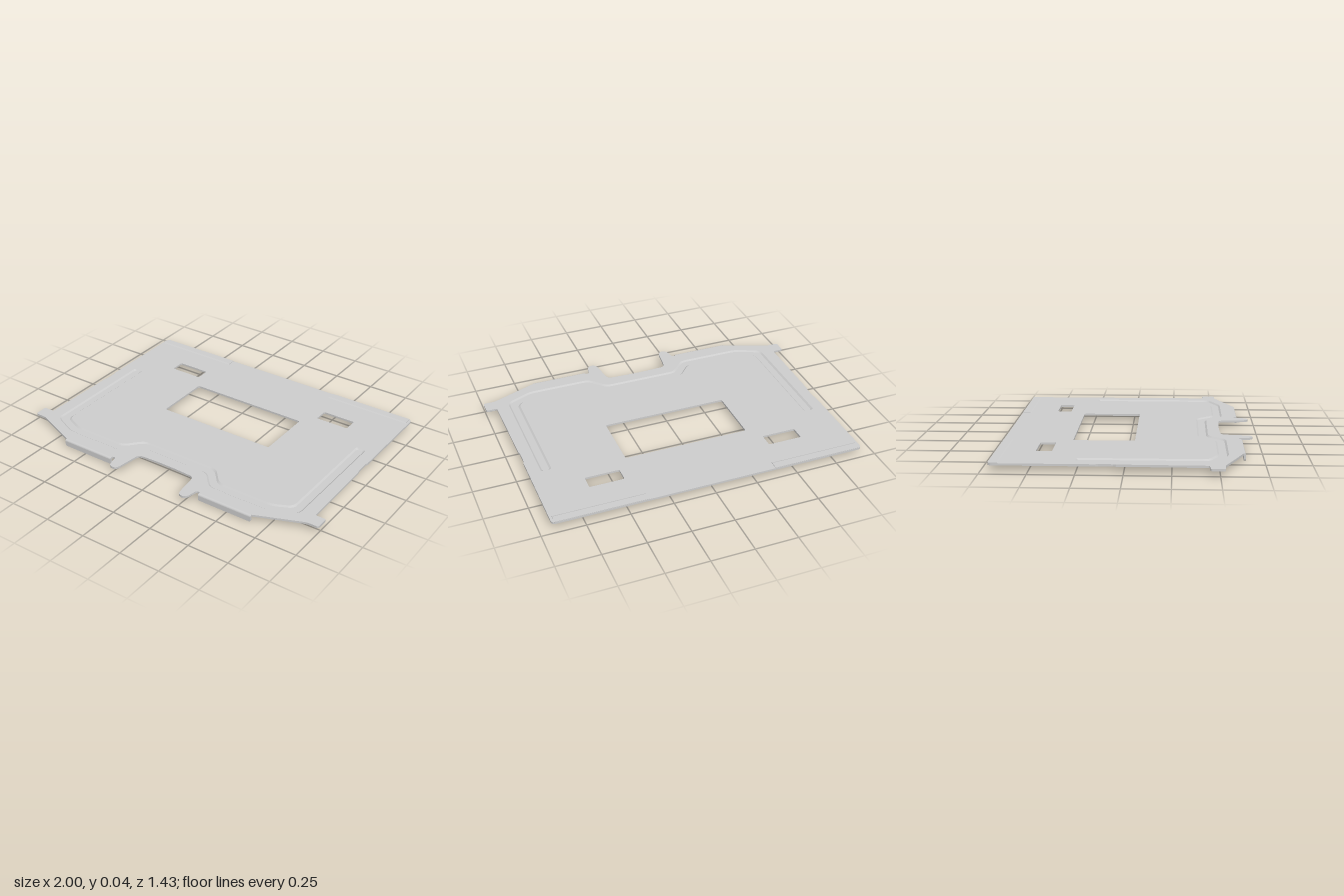
import * as THREE from 'three';

const TOP = 0.041, THICK = 0.012, SINK = 0.008;
const material = new THREE.MeshStandardMaterial({ color: 0xcccccc, side: THREE.DoubleSide });
const V = (x, y) => new THREE.Vector2(x, y);

// Closed loop with every corner [x, z, radius] replaced by a small arc
function rounded(corners, segs = 5) {
  const out = [], n = corners.length;
  corners.forEach(([x, z, r = 0], i) => {
    const p = V(x, z);
    if (!r) return out.push(p);
    const a = V(...corners[(i + n - 1) % n]).sub(p), b = V(...corners[(i + 1) % n]).sub(p);
    const start = p.clone().addScaledVector(a.clone().normalize(), Math.min(r, a.length() * 0.49));
    const end = p.clone().addScaledVector(b.clone().normalize(), Math.min(r, b.length() * 0.49));
    out.push(...new THREE.QuadraticBezierCurve(start, p, end).getPoints(segs));
  });
  return out;
}

// Appends the mirror image of a half outline
const mirrored = (half) => [...half, ...half.map(([x, ...rest]) => [-x, ...rest]).reverse()];

const rect = (x0, x1, z0, z1, r) =>
  rounded([[x0, z0, r], [x1, z0, r], [x1, z1, r], [x0, z1, r]]);

// Outline of a band of half-width w around an open path, with mitred corners
function band(path, w) {
  const pts = path.map(([x, z]) => V(x, z));
  const dirs = pts.slice(1).map((p, i) => p.clone().sub(pts[i]).normalize());
  const sideLine = (s) => pts.map((p, i) => {
    const d0 = dirs[Math.max(i - 1, 0)], d1 = dirs[Math.min(i, dirs.length - 1)];
    const n0 = V(-d0.y, d0.x), m = n0.clone().add(V(-d1.y, d1.x)).normalize();
    const q = p.clone().addScaledVector(m, (s * w) / m.dot(n0));
    if (i === 0) q.addScaledVector(d0, -w);
    if (i === pts.length - 1) q.addScaledVector(d1, w);
    return [q.x, q.y, i === 0 || i === pts.length - 1 ? 0.014 : 0.035];
  });
  return rounded([...sideLine(1), ...sideLine(-1).reverse()]);
}

// Sloping wall between two loops of equal length
function wall(loopA, yA, loopB, yB) {
  const pos = [], index = [], n = loopA.length;
  for (let i = 0; i < n; i++) {
    pos.push(loopA[i].x, yA, loopA[i].y, loopB[i].x, yB, loopB[i].y);
    const a = 2 * i, b = 2 * ((i + 1) % n);
    index.push(a, a + 1, b, b, a + 1, b + 1);
  }
  const g = new THREE.BufferGeometry();
  g.setAttribute('position', new THREE.Float32BufferAttribute(pos, 3));
  g.setIndex(index);
  g.computeVertexNormals();
  return g;
}

export function createModel() {
  const model = new THREE.Group();
  model.name = 'stampedPlate';
  const add = (geometry, name, parent = model) => {
    const mesh = new THREE.Mesh(geometry, material);
    mesh.name = name;
    parent.add(mesh);
    return mesh;
  };

  // Plate outline: back corner, side recess, ear, slanted front, tab, front notch
  const outline = rounded(mirrored([
    [0.93, -0.715, 0.025], [0.93, -0.15], [0.925, -0.135], [0.925, -0.055], [0.93, -0.04],
    [0.935, 0.447, 0.01], [1.0, 0.447, 0.012], [1.0, 0.528, 0.015], [0.93, 0.528, 0.02],
    [0.655, 0.638], [0.31, 0.638], [0.308, 0.63], [0.287, 0.63, 0.012],
    [0.272, 0.712, 0.035], [0.217, 0.712, 0.035], [0.194, 0.531, 0.03], [0.05, 0.525],
  ]));

  // Centreline of the pressed groove
  const groovePath = mirrored([
    [0.827, -0.228], [0.827, 0.465], [0.695, 0.525], [0.33, 0.525], [0.24, 0.424],
  ]);
  const rim = band(groovePath, 0.031), floor = band(groovePath, 0.021);

  const plateShape = new THREE.Shape(outline);
  plateShape.holes = [
    rect(-0.378, 0.375, -0.316, 0.036, 0.012),
    rect(0.445, 0.65, -0.495, -0.407, 0.008),
    rect(-0.65, -0.445, -0.495, -0.407, 0.008),
    rim,
  ].map((loop) => new THREE.Path(loop));
  const plate = new THREE.ExtrudeGeometry(plateShape, { depth: THICK, bevelEnabled: false });
  plate.rotateX(Math.PI / 2).translate(0, TOP, 0);
  add(plate, 'plate');

  // Groove: sunken skin on the upper and lower face
  const groove = new THREE.Group();
  groove.name = 'groove';
  model.add(groove);
  for (const [y, label] of [[TOP, 'upper'], [TOP - THICK, 'lower']]) {
    add(wall(rim, y, floor, y - SINK), label + 'GrooveWall', groove);
    const base = new THREE.ShapeGeometry(new THREE.Shape(floor));
    // The upper floor looks up, the lower floor looks down
    base.rotateX(Math.PI / 2).translate(0, y - SINK, 0);
    if (label === 'upper') {
      base.index.array.reverse();
      base.computeVertexNormals();
    }
    add(base, label + 'GrooveFloor', groove);
  }

  for (const s of [1, -1]) {
    const side = s > 0 ? 'left' : 'right';

    // Downturned front flange with a rounded bend
    const flange = new THREE.Group();
    flange.name = side + 'FrontFlange';
    model.add(flange);
    const lip = new THREE.Shape(rounded([
      [-0.172, TOP - THICK], [-0.172, 0, 0.01], [0.172, 0, 0.01], [0.172, TOP - THICK],
    ]));
    add(new THREE.ExtrudeGeometry(lip, { depth: 0.012, bevelEnabled: false }), 'flangeLip', flange);
    const quarter = new THREE.Shape().moveTo(0, 0).lineTo(THICK, 0)
      .absarc(0, 0, THICK, 0, Math.PI / 2, false).lineTo(0, 0);
    const bend = new THREE.ExtrudeGeometry(quarter, { depth: 0.344, bevelEnabled: false, curveSegments: 6 });
    bend.rotateY(-Math.PI / 2).translate(0.172, TOP - THICK, 0);
    add(bend, 'flangeBend', flange);
    flange.position.set(s * 0.482, 0, 0.638);

    // Slightly raised pad along the back edge
    const pad = new THREE.Shape([
      V(-0.714, TOP - 0.002), V(-0.664, TOP - 0.002), V(-0.66, TOP), V(-0.668, TOP + 0.003), V(-0.714, TOP + 0.003),
    ]);
    const padGeometry = new THREE.ExtrudeGeometry(pad, { depth: 0.535, bevelEnabled: false });
    padGeometry.rotateY(-Math.PI / 2).translate(0.2675, 0, 0);
    add(padGeometry, side + 'BackPad').position.x = s * 0.6475;
  }
  return model;
}
